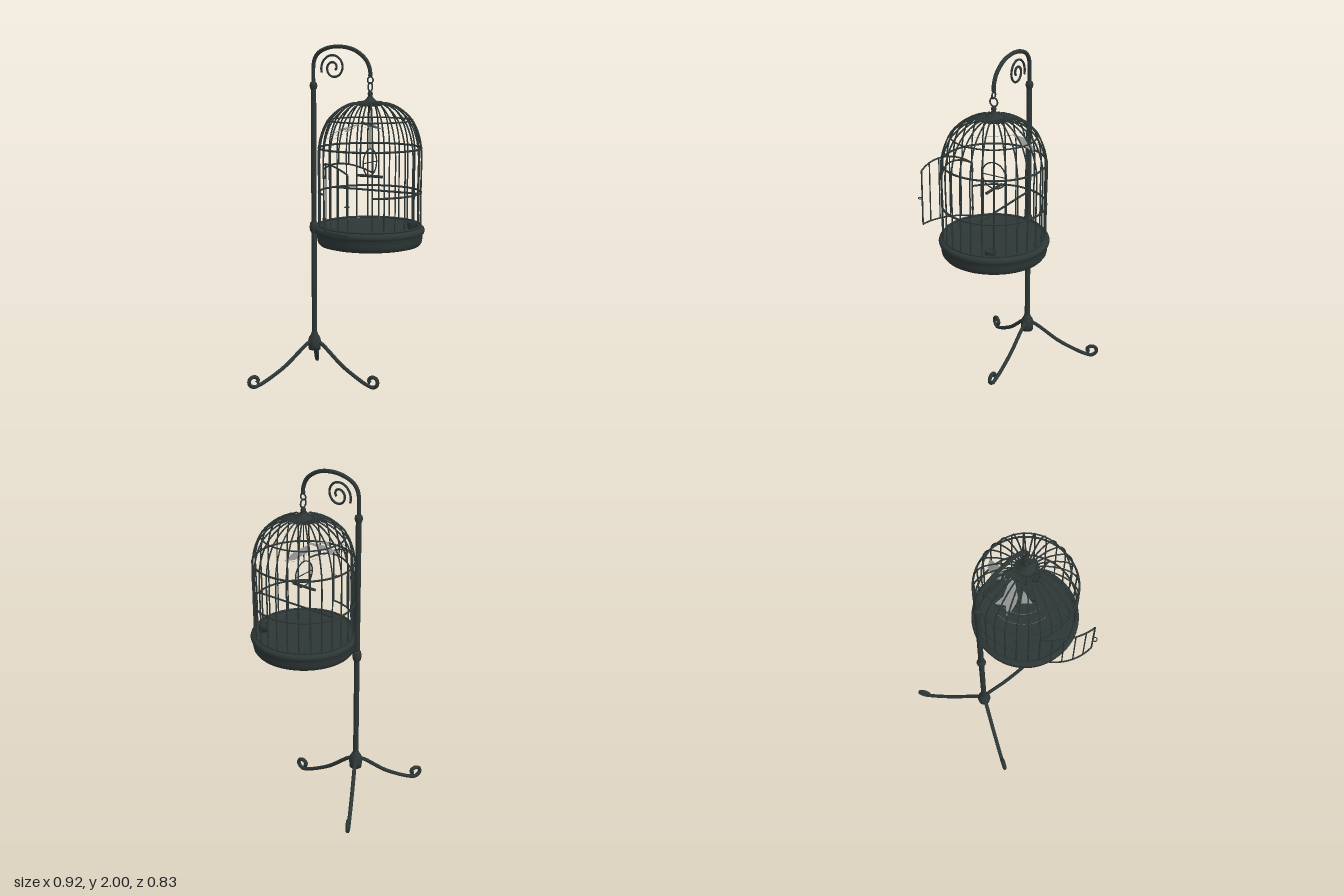
import * as THREE from 'three';

const V = (x, y, z = 0) => new THREE.Vector3(x, y, z);

export function createModel() {
  const iron = new THREE.MeshStandardMaterial({ color: 0x2d3736 });
  iron.name = 'darkIron';
  const silk = new THREE.MeshStandardMaterial({ color: 0x8c8e8e, side: THREE.DoubleSide });
  silk.name = 'greySilk';

  const root = new THREE.Group();
  root.name = 'hangingBirdcage';

  const add = (parent, name, geo, mat = iron, pos = [0, 0, 0]) => {
    const m = new THREE.Mesh(geo, mat);
    m.name = name;
    m.position.set(...pos);
    parent.add(m);
    return m;
  };
  const tube = (pts, r, seg = 24, sides = 8) =>
    new THREE.TubeGeometry(new THREE.CatmullRomCurve3(pts, false, 'centripetal'), seg, r, sides);
  const lathe = (pts, seg = 48) =>
    new THREE.LatheGeometry(pts.map(([r, y]) => new THREE.Vector2(r, y)), seg);
  // Rod with closed ends between two points
  const rod = (parent, name, a, b, r) => {
    const m = add(parent, name, new THREE.CylinderGeometry(r, r, a.distanceTo(b), 8));
    m.position.copy(a).add(b).multiplyScalar(0.5);
    m.quaternion.setFromUnitVectors(V(0, 1, 0), b.clone().sub(a).normalize());
  };
  const hoop = (parent, name, R, r, y) => {
    add(parent, name, new THREE.TorusGeometry(R, r, 8, 64), iron, [0, y, 0]).rotation.x = Math.PI / 2;
  };

  // ---- Stand ----
  const stand = new THREE.Group();
  stand.name = 'stand';
  stand.position.set(-0.235, 0, -0.032);
  root.add(stand);

  add(stand, 'pole', new THREE.CylinderGeometry(0.016, 0.016, 1.55, 16), iron, [0, 1.0, 0]);
  add(stand, 'hub', lathe([[0, 0.19], [0.035, 0.19], [0.037, 0.21], [0.04, 0.235], [0.034, 0.262], [0.022, 0.282], [0.016, 0.3]], 24));
  const collar = (name, y, r, h) => add(stand, name,
    lathe([[0.015, y - h], [r * 0.85, y - h * 0.7], [r, y], [r * 0.85, y + h * 0.7], [0.012, y + h]], 20));
  collar('middleCollar', 0.934, 0.027, 0.035);
  collar('topCollar', 1.764, 0.023, 0.022);

  // Hooked arm that carries the cage
  add(stand, 'hookArm', tube([V(0, 1.76), V(0, 1.87), V(0.008, 1.915), V(0.035, 1.952), V(0.1, 1.981),
    V(0.19, 1.988), V(0.28, 1.967), V(0.35, 1.915), V(0.376, 1.86), V(0.378, 1.83)], 0.0115, 48, 10));
  add(stand, 'armTip', new THREE.SphereGeometry(0.0125, 12, 8), iron, [0.378, 1.83, 0]);

  // Spiral ornament under the arm
  const spiral = [];
  for (let i = 0; i <= 36; i++) {
    const t = i / 36, a = THREE.MathUtils.degToRad(200 - 600 * t), r = 0.083 - 0.066 * t;
    spiral.push(V(0.135 + r * Math.cos(a), 1.868 + r * Math.sin(a)));
  }
  add(stand, 'scroll', tube(spiral, 0.0065, 90));

  // Three legs with curled feet
  const legPath = [[0.015, 0.25], [0.06, 0.222], [0.19, 0.117], [0.27, 0.068], [0.36, 0.024], [0.405, 0.014], [0.432, 0.035],
    [0.428, 0.065], [0.402, 0.076], [0.378, 0.062], [0.376, 0.045], [0.388, 0.038]];
  for (let i = 0; i < 3; i++) {
    const leg = add(stand, 'leg', tube(legPath.map(p => V(...p)), 0.0115, 56));
    leg.rotation.y = i * Math.PI * 2 / 3;
  }

  // ---- Cage ----
  const cage = new THREE.Group();
  cage.name = 'cage';
  cage.position.set(0.143, 0, -0.032);
  root.add(cage);
  const R = 0.292, bars = 28, step = Math.PI * 2 / bars, door = step * 2.5, base = 0.96;
  const archY = a => 1.315 + 0.045 * (1 - (a / door) ** 2);
  const onWall = (a, y) => V(R * Math.sin(a), y, R * Math.cos(a));

  add(cage, 'tray', lathe([[0, 0.863], [0.268, 0.863], [0.287, 0.868], [0.298, 0.883], [0.302, 0.905], [0.303, 0.932], [0.311, 0.938],
    [0.315, 0.952], [0.311, 0.965], [0.302, 0.972], [0.28, 0.972], [0.278, 0.955], [0, 0.955]], 64));
  hoop(cage, 'baseHoop', R, 0.006, 0.98);
  hoop(cage, 'shoulderHoop', R, 0.006, 1.422);
  hoop(cage, 'domeHoop', 0.241, 0.0045, 1.578);

  // Middle hoop, open at the doorway
  const arc = (from, to, yOf, n = 40) =>
    Array.from({ length: n + 1 }, (_, i) => { const a = from + (to - from) * i / n; return onWall(a, yOf(a)); });
  add(cage, 'middleHoop', tube(arc(door, Math.PI * 2 - door, () => 1.17), 0.006, 72));
  add(cage, 'doorwayArch', tube(arc(-door, door, archY, 12), 0.005, 20));

  // Wire bars, shortened above the doorway, with a small loop at the crown
  const dome = [[R, 1.42], [0.276, 1.5], [0.24, 1.578], [0.18, 1.637], [0.11, 1.672], [0.045, 1.677]];
  for (let i = 0; i < bars; i++) {
    const a = (i + 0.5 - bars / 2) * step;
    const start = Math.abs(a) < door - 0.01 ? archY(a) : base;
    const pts = [V(R, start), V(R, (start + 1.41) / 2), ...dome.map(p => V(...p))];
    const bar = add(cage, 'bar', tube(pts, 0.0045, 28, 6));
    bar.rotation.y = a - Math.PI / 2;
    const loop = add(cage, 'crownLoop', new THREE.TorusGeometry(0.01, 0.0035, 6, 12), iron,
      [0.062 * Math.sin(a), 1.672, 0.062 * Math.cos(a)]);
    loop.rotation.y = a - Math.PI / 2;
  }

  // Crown cap and hanging links
  add(cage, 'crown', lathe([[0, 1.658], [0.05, 1.658], [0.057, 1.667], [0.05, 1.68], [0.032, 1.69], [0.018, 1.705],
    [0.012, 1.716], [0.016, 1.726], [0.012, 1.738], [0, 1.742]], 32));
  [[1.803, 0.018, 0], [1.765, 0.024, Math.PI / 2]].forEach(([y, r, turn]) => {
    add(cage, 'hangingLink', new THREE.TorusGeometry(r, 0.0045, 8, 24), iron, [0, y, 0]).rotation.y = turn;
  });

  // Swing: ring with a crossbar, and a short perch below
  add(cage, 'swingRing', new THREE.TorusGeometry(0.077, 0.004, 8, 40), iron, [0, 1.338, 0]).rotation.y = Math.PI / 2;
  rod(cage, 'swingCrossbar', V(0, 1.338, -0.077), V(0, 1.338, 0.077), 0.003);
  rod(cage, 'swingPerch', V(-0.08, 1.26, 0), V(0.08, 1.26, 0), 0.008);
  rod(cage, 'swingWire', V(0, 1.415, 0), V(0, 1.67, 0), 0.003);

  // Long perch across the cage
  rod(cage, 'perch', V(-0.282, 1.17, -0.07), V(0.282, 1.17, -0.07), 0.006);

  // Seed cup
  add(cage, 'seedCup', lathe([[0, 0.957], [0.026, 0.957], [0.033, 0.995], [0.031, 1.0], [0.028, 0.996], [0.024, 0.965], [0, 0.965]], 24),
    iron, [0.217, 0, -0.112]);

  // ---- Door, swung open on its hinge ----
  const hinge = onWall(-door, 0);
  const leaf = new THREE.Group();
  leaf.name = 'door';
  leaf.position.copy(hinge);
  leaf.rotation.y = -0.59;
  cage.add(leaf);
  const onLeaf = (a, y) => onWall(a, y).sub(hinge);
  const leafArc = yOf => arc(-door, door, yOf, 12).map(p => p.sub(hinge));
  add(leaf, 'doorTop', tube(leafArc(archY), 0.005, 24));
  add(leaf, 'doorBottom', tube(leafArc(() => 0.985), 0.005, 24));
  for (let i = 0; i < 6; i++) {
    const a = (i - 2.5) * step;
    rod(leaf, 'doorBar', onLeaf(a, 0.983), onLeaf(a, archY(a)), i % 5 === 0 ? 0.005 : 0.004);
  }
  const latch = add(leaf, 'latchRing', new THREE.TorusGeometry(0.012, 0.003, 6, 20), iron,
    onLeaf(door, 1.145).add(V(0.008, 0, 0.01)).toArray());
  latch.rotation.x = Math.PI / 2;
  [1.03, 1.27].forEach(y => add(leaf, 'hingeKnuckle', new THREE.CylinderGeometry(0.008, 0.008, 0.02, 10), iron, [0, y, 0]));

  // ---- Torn cobweb under the dome: a back sheet and a front sheet meeting at a ridge ----
  const web = new THREE.Group();
  web.name = 'cobweb';
  root.add(web);
  const ridge = -0.088;
  const webY = (x, z) => z < ridge
    ? 1.567 - 0.35 * (ridge - z)
    : 1.567 - 0.25 * (z - ridge) - 0.25 * (0.09 - x);
  const patches = [
    [[0.05, -0.23], [0.1, -0.26], [0.095, -0.18], [0.05, -0.09], [0.015, -0.15]],
    [[-0.08, -0.06], [-0.02, -0.05], [0.075, -0.085], [0.075, -0.05], [0.03, 0.01], [0, 0.025], [-0.085, 0.035], [-0.045, -0.01]],
    [[0.015, 0.04], [0.075, 0.01], [0.06, 0.09]],
  ];
  for (const patch of patches) {
    const g = new THREE.ShapeGeometry(new THREE.Shape(patch.map(([x, z]) => new THREE.Vector2(x, z))));
    const p = g.attributes.position;
    for (let i = 0; i < p.count; i++) p.setXYZ(i, p.getX(i), webY(p.getX(i), p.getY(i)), p.getY(i));
    g.computeVertexNormals();
    add(web, 'webPatch', g, silk);
  }
  // Fine threads around the torn patches
  for (const r of [0.15, 0.2]) {
    for (const [from, to] of [[0.55, 0.98], [1.15, 1.45]]) {
      const pts = [];
      for (let i = 0; i <= 8; i++) {
        const a = Math.PI * (from + (to - from) * i / 8), x = 0.09 + r * Math.cos(a), z = -0.03 + r * 1.1 * Math.sin(a);
        pts.push(V(x, webY(x, z), z));
      }
      add(web, 'webThread', tube(pts, 0.0008, 16, 4), silk);
    }
  }

  return root;
}
